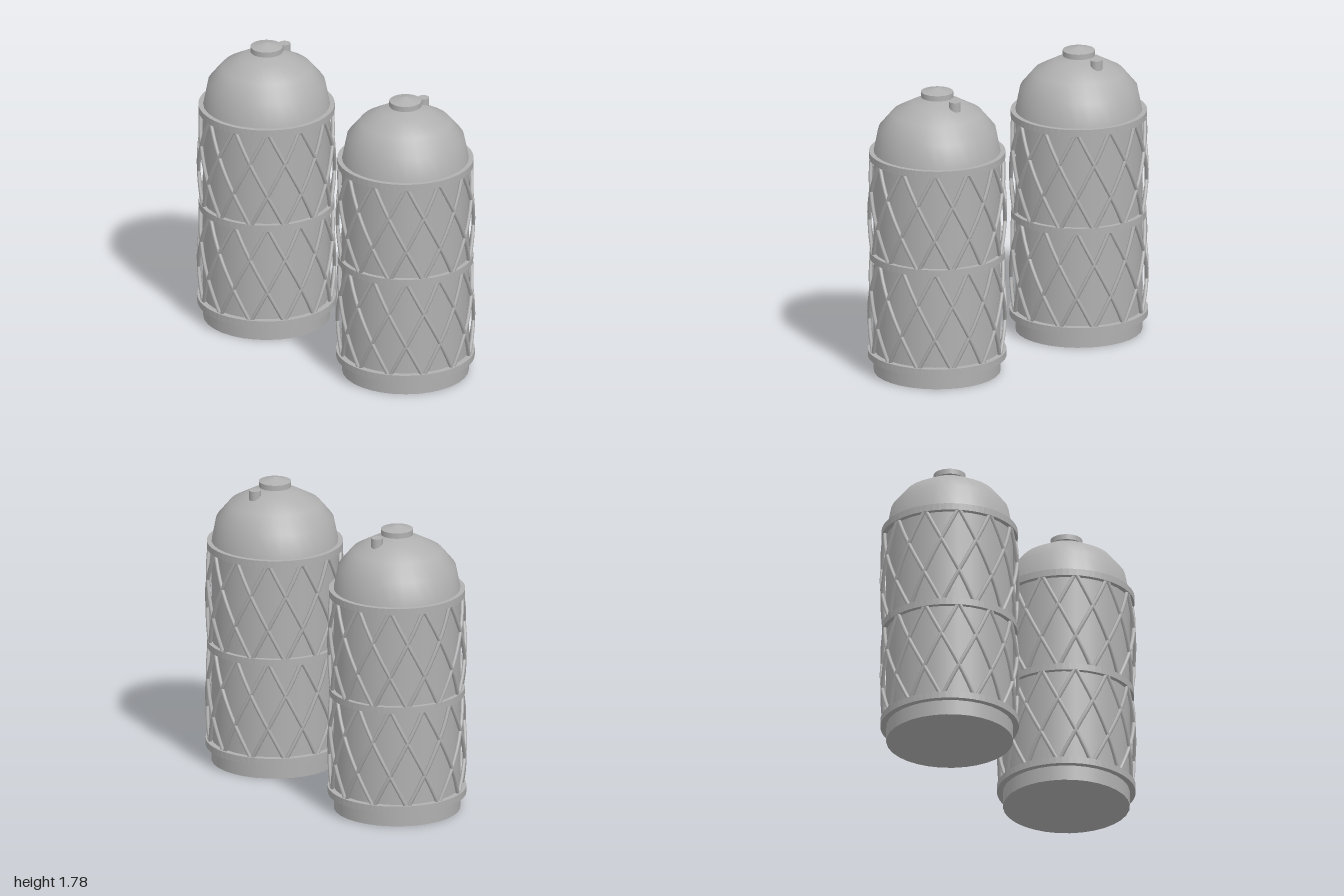
import * as THREE from 'three';

const metal = new THREE.MeshStandardMaterial({ color: 0xb0b0b0 });
metal.name = 'grey metal';

function add(parent, name, geometry, x = 0, y = 0, z = 0) {
  const mesh = new THREE.Mesh(geometry, metal);
  mesh.name = name;
  mesh.position.set(x, y, z);
  parent.add(mesh);
  return mesh;
}

// Flat hoop with square edges, built as a closed lathe section
function hoop(inner, outer, height) {
  const shape = new THREE.Shape().absarc(0, 0, outer, 0, Math.PI * 2);
  shape.holes.push(new THREE.Path().absarc(0, 0, inner, 0, Math.PI * 2, true));
  const g = new THREE.ExtrudeGeometry(shape, { depth: height, bevelEnabled: false, curveSegments: 32 });
  return g.rotateX(-Math.PI / 2);
}

// Rod wound 45 degrees around the tank, bulging slightly halfway
function rod(startDeg, sweepDeg, yTop, yBottom) {
  const points = [];
  for (let i = 0; i <= 6; i++) {
    const t = i / 6;
    const a = THREE.MathUtils.degToRad(startDeg + sweepDeg * t);
    const r = 0.392 + 0.016 * Math.sin(Math.PI * t);
    points.push(new THREE.Vector3(r * Math.sin(a), yTop + (yBottom - yTop) * t, r * Math.cos(a)));
  }
  return new THREE.TubeGeometry(new THREE.CatmullRomCurve3(points), 12, 0.012, 6);
}

function makeTank() {
  const tank = new THREE.Group();

  // Cylindrical body and faceted-profile dome
  add(tank, 'tankBody', new THREE.CylinderGeometry(0.38, 0.38, 1.38, 32, 1), 0, 0.69);
  const profile = [[0.38, 1.38], [0.352, 1.522], [0.27, 1.621], [0.145, 1.689], [0, 1.712]];
  add(tank, 'dome', new THREE.LatheGeometry(profile.map(p => new THREE.Vector2(...p)), 32));

  // Hoops holding the lattice
  add(tank, 'bottomHoop', hoop(0.37, 0.415, 0.042), 0, 0.094);
  add(tank, 'middleHoop', hoop(0.37, 0.406, 0.042), 0, 0.716);
  add(tank, 'topHoop', hoop(0.37, 0.408, 0.042), 0, 1.338);

  // Two tiers of crossing rods
  const lattice = new THREE.Group();
  lattice.name = 'lattice';
  tank.add(lattice);
  for (const [top, bottom] of [[1.36, 0.735], [0.735, 0.113]]) {
    for (let k = 0; k < 12; k++) {
      for (const sweep of [45, -45]) add(lattice, 'latticeRod', rod(15 + 30 * k, sweep, top, bottom));
    }
  }

  // Vent cap with shallow cone, and small pipe beside it
  add(tank, 'ventCap', new THREE.CylinderGeometry(0.097, 0.097, 0.033, 24), 0, 1.736);
  add(tank, 'ventCone', new THREE.ConeGeometry(0.097, 0.026, 24, 1, true), 0, 1.7655);
  add(tank, 'sidePipe', new THREE.CylinderGeometry(0.035, 0.035, 0.09, 16), 0.154, 1.68);
  return tank;
}

export function createModel() {
  const model = new THREE.Group();
  model.name = 'storageTanks';
  for (const [name, z] of [['frontTank', 0.58], ['backTank', -0.58]]) {
    const tank = makeTank();
    tank.name = name;
    tank.position.z = z;
    model.add(tank);
  }
  return model;
}
